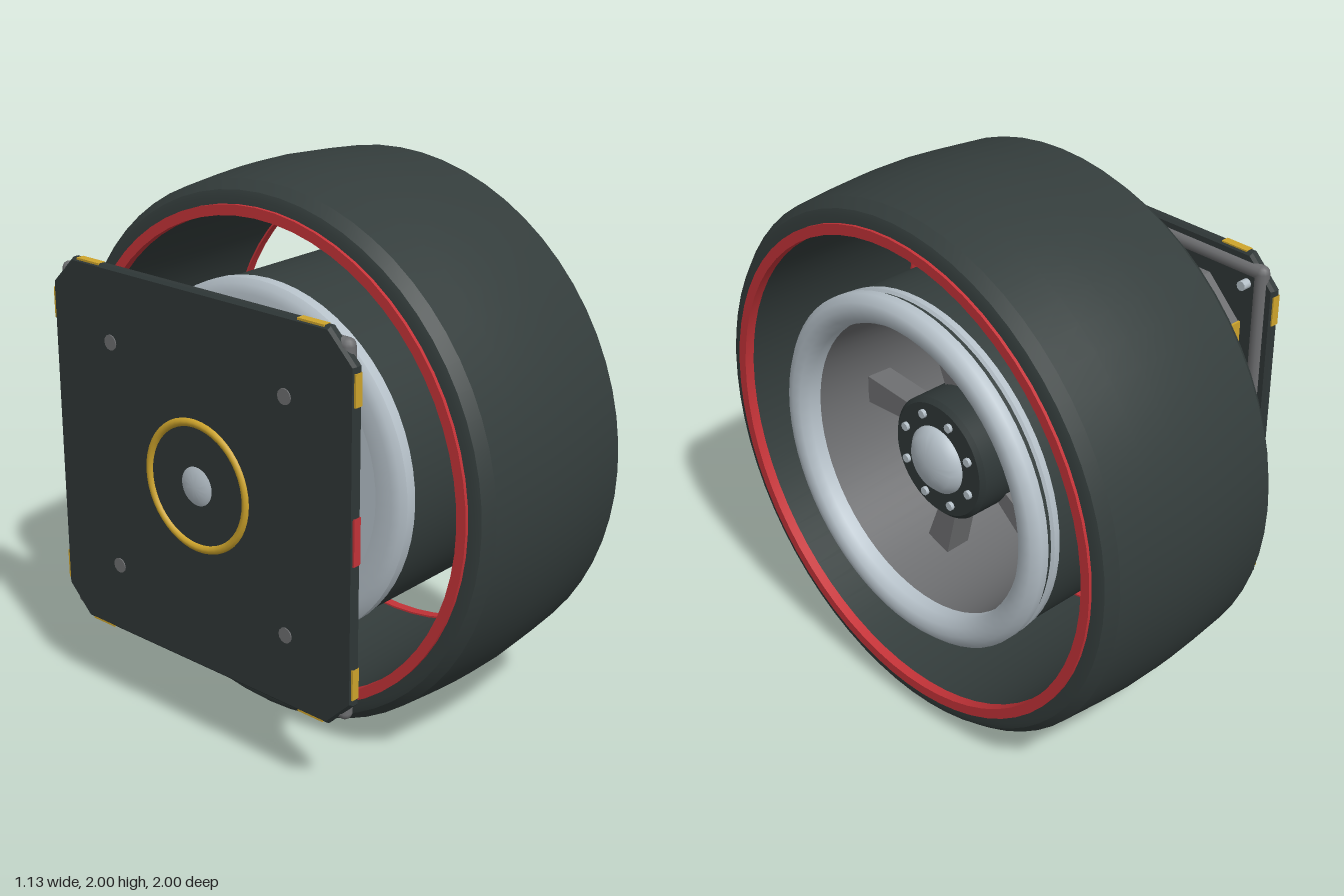
import * as THREE from 'three';
import { toCreasedNormals } from 'three/addons/utils/BufferGeometryUtils.js';

const mat = (name, color) => {
  const m = new THREE.MeshStandardMaterial({ color });
  m.name = name;
  return m;
};

export function createModel() {
  const rubber = mat('dark rubber', 0x343d3c);
  const dark = mat('dark metal', 0x2f3737);
  const grey = mat('grey metal', 0x6d6e70);
  const silver = mat('silver', 0xb6c1c9);
  const red = mat('red', 0xc53338);
  const gold = mat('gold', 0xcfa52c);

  const model = new THREE.Group();
  model.name = 'wheelAssembly';
  const body = new THREE.Group(); // everything is built around the axle line
  body.name = 'axleGroup';
  body.position.y = 1;
  model.add(body);

  const add = (name, geo, material, x = 0, y = 0, z = 0) => {
    const m = new THREE.Mesh(geo, material);
    m.name = name;
    m.position.set(x, y, z);
    body.add(m);
    return m;
  };
  const box = (name, material, sx, sy, sz, x, y, z) =>
    add(name, new THREE.BoxGeometry(sx, sy, sz), material, x, y, z);
  // Surface of revolution round the x axis; points are [x, radius]
  const turn = (name, material, pts, crease = 0.45, seg = 64) => {
    const g = new THREE.LatheGeometry(pts.map(([x, r]) => new THREE.Vector2(r, x)), seg);
    g.rotateZ(-Math.PI / 2);
    return add(name, toCreasedNormals(g, crease), material);
  };
  const disc = (name, material, x0, x1, r, y = 0, z = 0, seg = 48) => {
    const g = new THREE.CylinderGeometry(r, r, x1 - x0, seg);
    g.rotateZ(-Math.PI / 2);
    return add(name, g, material, (x0 + x1) / 2, y, z);
  };
  const shape = (pts) => new THREE.Shape(pts.map(([a, b]) => new THREE.Vector2(a, b)));
  // Square slab with cut corners, lying across the x axis
  const slab = (name, material, half, cut, x0, x1, bevel) => {
    const h = half - bevel, c = h - cut;
    const s = shape([[h, -c], [h, c], [c, h], [-c, h], [-h, c], [-h, -c], [-c, -h], [c, -h]]);
    const g = new THREE.ExtrudeGeometry(s, {
      depth: x1 - x0 - 2 * bevel, bevelEnabled: bevel > 0,
      bevelSize: bevel, bevelThickness: bevel, bevelSegments: 1,
    });
    g.translate(0, 0, bevel);
    g.rotateY(Math.PI / 2);
    return add(name, g, material, x0);
  };

  // Tyre: crowned tread, bevelled shoulders, open bore
  turn('tyre', rubber, [
    [-0.25, 0.87], [-0.25, 0.925], [-0.242, 0.947], [-0.205, 0.978], [-0.05, 0.992], [0.07, 1],
    [0.22, 1], [0.345, 0.992], [0.5, 0.978], [0.537, 0.947], [0.545, 0.925], [0.545, 0.87], [-0.25, 0.87],
  ], 0.5);
  for (const [x0, x1] of [[-0.263, -0.23], [0.52, 0.556]]) {
    turn('tyreStripe', red, [[x0, 0.863], [x0, 0.9], [x1, 0.9], [x1, 0.863], [x0, 0.863]]);
  }

  // Rim: dark outer barrel, grey inside, silver flanges and back disc
  turn('rimBarrel', rubber, [[-0.22, 0.638], [0.48, 0.638]]);
  turn('rimInside', grey, [[0.5, 0.545], [-0.16, 0.51]]);
  turn('frontFlange', silver, [
    [0.43, 0.545], [0.43, 0.645], [0.455, 0.648], [0.465, 0.634], [0.475, 0.634], [0.485, 0.65],
    [0.515, 0.65], [0.54, 0.625], [0.545, 0.597], [0.537, 0.565], [0.507, 0.543], [0.43, 0.543],
  ], 0.8);
  turn('rearFlange', silver, [
    [-0.26, 0.53], [-0.265, 0.6], [-0.255, 0.63], [-0.24, 0.648], [-0.2, 0.648], [-0.18, 0.63],
    [-0.18, 0.53], [-0.26, 0.53],
  ], 0.6);
  disc('backDisc', silver, -0.19, -0.15, 0.54);
  disc('backHub', dark, -0.215, -0.18, 0.34);

  // Hub with a domed cap and a ring of bolts
  turn('hub', dark, [[0.04, 0], [0.04, 0.2], [0.08, 0.228], [0.365, 0.228], [0.38, 0.212], [0.38, 0]]);
  turn('hubCap', silver, [
    [0.37, 0.128], [0.39, 0.125], [0.415, 0.1], [0.43, 0.055], [0.435, 0],
  ], 0.9);
  for (let i = 0; i < 8; i++) {
    const a = (i + 0.5) * Math.PI / 4;
    disc('hubBolt', silver, 0.37, 0.393, 0.016, 0.172 * Math.sin(a), 0.172 * Math.cos(a), 8);
  }
  disc('axle', silver, -0.44, 0.06, 0.06);

  // Five tapering spokes, wider at the rim
  for (let i = 0; i < 5; i++) {
    const g = new THREE.BoxGeometry(0.1, 0.36, 0.11);
    const p = g.attributes.position;
    for (let k = 0; k < p.count; k++) {
      if (p.getY(k) < 0) p.setZ(k, p.getZ(k) * 0.55);
    }
    g.translate(0, 0.36, 0);
    g.computeVertexNormals();
    add('spoke', g, grey, 0.2).rotation.x = Math.PI / 2 + i * Math.PI * 2 / 5;
  }

  // Mounting plate with edge markers set nearly flush
  slab('mountPlate', dark, 0.687, 0.1, -0.56, -0.52, 0.01);
  for (const s of [-1, 1]) {
    for (const t of [-0.505, 0.505]) {
      box('edgeMarker', gold, 0.03, 0.11, 0.008, -0.541, t, s * 0.6845);
      box('edgeMarker', gold, 0.03, 0.008, 0.11, -0.541, s * 0.6845, t);
    }
  }
  box('frontMarker', red, 0.03, 0.165, 0.008, -0.541, 0, 0.6845);

  // Outer face of the plate: ring and centre cap
  const ring = new THREE.TorusGeometry(0.226, 0.016, 10, 48);
  ring.rotateY(Math.PI / 2);
  add('plateRing', ring, gold, -0.556);
  turn('plateCap', silver, [[-0.575, 0], [-0.572, 0.03], [-0.566, 0.058], [-0.555, 0.08], [-0.54, 0.08]], 0.9, 32);

  // Tubular frame on the inner face, bolts on both faces
  for (const s of [-1, 1]) {
    const rail = new THREE.CylinderGeometry(0.026, 0.026, 1.264, 12);
    add('sideRail', rail, grey, -0.527, 0, s * 0.632);
    add('crossRail', rail, grey, -0.527, s * 0.632, 0).rotation.x = Math.PI / 2;
    for (const t of [-1, 1]) {
      add('railCorner', new THREE.SphereGeometry(0.026, 12, 8), grey, -0.527, s * 0.632, t * 0.632);
      disc('innerBolt', silver, -0.525, -0.487, 0.018, s * 0.575, t * 0.575, 10);
      disc('outerBolt', grey, -0.564, -0.55, 0.028, s * 0.42, t * 0.4, 12);
    }
  }

  // Motor housing with coloured side panels
  slab('housing', grey, 0.568, 0.13, -0.525, -0.418, 0.022);
  slab('housingFace', dark, 0.543, 0.128, -0.423, -0.414, 0);
  for (const s of [-1, 1]) {
    box('sidePanel', gold, 0.065, 0.865, 0.008, -0.472, 0, s * 0.567);
    box('endPanel', red, 0.065, 0.008, 0.65, -0.472, s * 0.566, 0);
  }
  turn('motor', dark, [[-0.42, 0], [-0.42, 0.298], [-0.31, 0.298], [-0.298, 0.283], [-0.298, 0]]);

  // Diagonal gussets between housing and motor
  const wedge = shape([[-0.42, 0.2], [-0.31, 0.2], [-0.31, 0.3], [-0.415, 0.53], [-0.42, 0.53]]);
  for (let i = 0; i < 4; i++) {
    const g = new THREE.ExtrudeGeometry(wedge, { depth: 0.09, bevelEnabled: false });
    g.translate(0, 0, -0.045);
    add('gusset', g, grey).rotation.x = Math.PI / 4 + i * Math.PI / 2;
  }

  // Red connector block, narrower toward the motor
  const block = shape([[-0.375, -0.26], [-0.265, -0.26], [-0.265, -0.345], [-0.29, -0.372], [-0.395, -0.372], [-0.412, -0.355]]);
  const bg = new THREE.ExtrudeGeometry(block, {
    depth: 0.24, bevelEnabled: true, bevelSize: 0.012, bevelOffset: -0.012, bevelThickness: 0.015, bevelSegments: 1,
  });
  bg.translate(0, 0, -0.12);
  bg.rotateX(-Math.PI / 2);
  add('connector', bg, red);

  return model;
}
